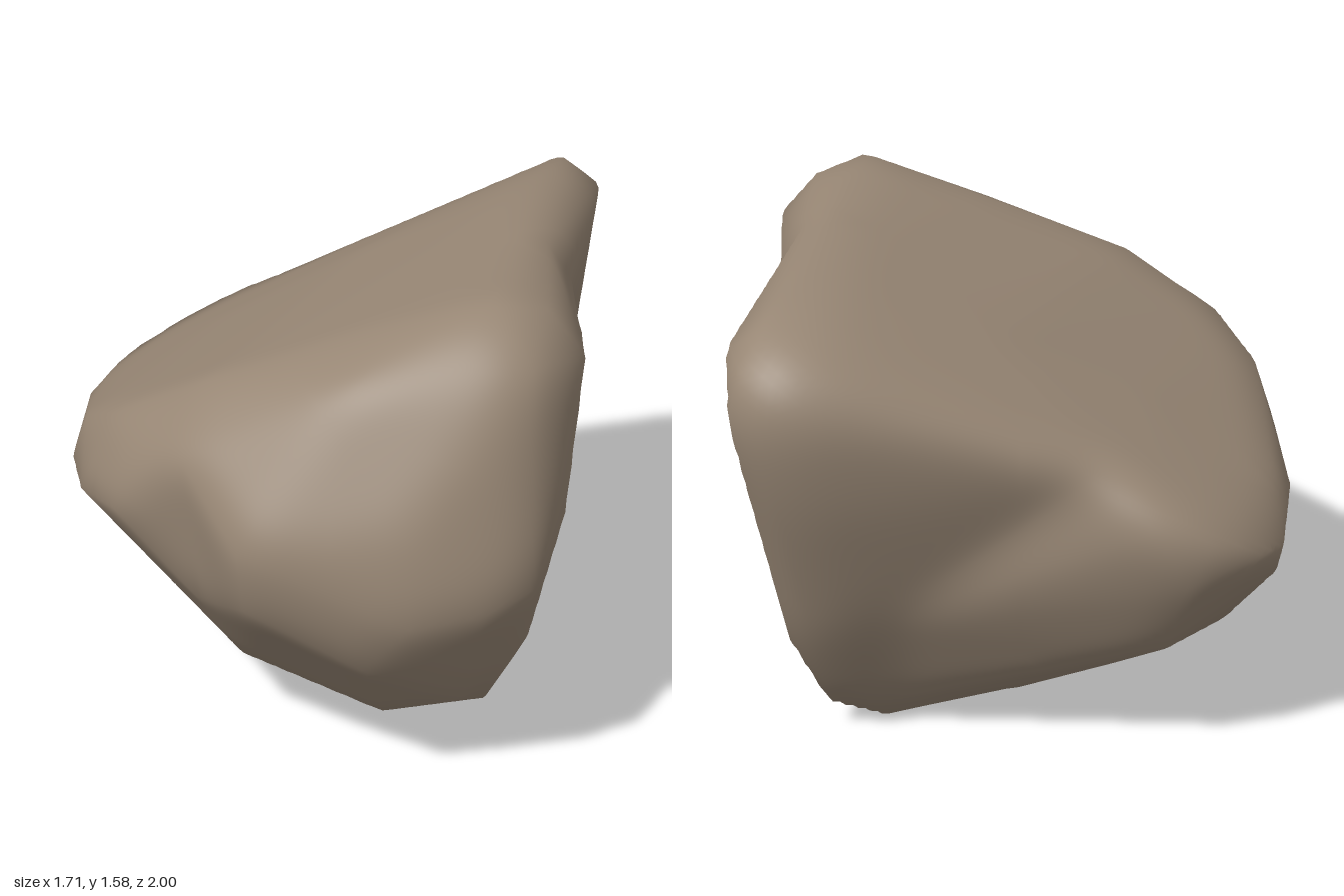
import * as THREE from 'three';
import { mergeVertices } from 'three/addons/utils/BufferGeometryUtils.js';
import { ConvexGeometry } from 'three/addons/geometries/ConvexGeometry.js';

const stone = new THREE.MeshStandardMaterial({ color: 0x978674 });
stone.name = 'brown stone';

const CENTER = new THREE.Vector3(0, 0.8, 0);

// Corners shared by every lobe: sloping top, hollows between lobes, base
const core = [
  [0.47, 1.58, 0.54], [0.65, 1.54, 0], [0.07, 1.45, 0.5], [0.07, 1.33, -0.45],
  [-0.4, 1.27, 0.48], [-0.4, 1.1, -0.4], [0.73, 1.4, -0.05], [0.69, 0.85, -0.05],
  [0.6, 0.5, -0.2], [0.38, 0, -0.27], [0.46, 0.04, 0.02], [0.22, 0.06, 0.16],
  [0, 0.09, -0.4], [-0.3, 0.21, -0.35], [-0.46, 1.11, 0.67], [-0.42, 0.6, 0.62],
  [-0.3, 0.27, 0.4], [-0.25, 1.05, -0.85],
];
// Back corner on the tall side, with its falling ridge
const tallLobe = [
  [0.63, 1.55, -0.5], [0.72, 1.52, -0.82], [0.855, 1.43, -0.78], [0.8, 1.42, -0.94],
  [0.845, 1.27, -0.94], [0.74, 1.28, -1], [0.6, 1.36, -0.99], [0.7, 0.95, -0.93],
  [0.71, 0.48, -0.68], [0.63, 0.46, -0.74], [0.71, 0.37, -0.58], [0.6, 0.11, -0.5],
  [0.42, 0.02, -0.44],
];
// Front face
const frontLobe = [
  [0.47, 1.58, 0.58], [0.63, 1.54, 0.5], [0.75, 1.4, 0.52], [0.58, 1.45, 0.74],
  [0.07, 1.38, 0.73], [-0.28, 0.92, 0.91], [-0.26, 0.7, 0.87],
  [0.23, 1.0, 0.95], [0.23, 0.72, 1], [0.45, 0.75, 0.96], [0.6, 0.8, 0.89],
  [0.7, 0.95, 0.67], [0.6, 0.52, 0.68], [0.1, 0.52, 0.91], [0.4, 0.32, 0.73],
  [0.15, 0.18, 0.59], [0.48, 0.18, 0.5],
];
// Low rounded side with the bulge behind it
const lowLobe = [
  [-0.86, 0.8, -0.4], [-0.86, 0.82, 0.1], [-0.8, 0.87, -0.38], [-0.8, 1, 0.16],
  [-0.69, 1.1, 0.35], [-0.8, 0.6, -0.6], [-0.82, 0.69, 0.08], [-0.8, 0.85, 0.38],
  [-0.68, 0.88, 0.56], [-0.64, 1.02, 0.52], [-0.62, 0.65, 0.38], [-0.65, 0.43, -0.58],
  [-0.39, 0.9, -0.94], [-0.57, 0.86, -0.92], [-0.74, 0.78, -0.83], [-0.8, 0.76, -0.74],
  [-0.5, 0.7, -0.91], [-0.45, 0.43, -0.78], [-0.62, 0.89, -0.72], [-0.38, 0.97, -0.91],
  [0.48, 0.48, -0.68], [0.42, 0.1, -0.48], [-0.3, 0.2, -0.45],
];

// Outward planes of the convex hull around a set of corners
function hullPlanes(points) {
  const geo = new ConvexGeometry(points.map((p) => new THREE.Vector3(...p).sub(CENTER)));
  const pos = geo.attributes.position;
  const planes = [];
  for (let i = 0; i < pos.count; i += 3) {
    const [a, b, c] = [0, 1, 2].map((k) => new THREE.Vector3().fromBufferAttribute(pos, i + k));
    planes.push(new THREE.Plane().setFromCoplanarPoints(a, b, c));
  }
  return planes;
}

// Distance from the centre to the hull along a direction
function reach(planes, dir) {
  let t = Infinity;
  for (const p of planes) {
    const k = p.normal.dot(dir);
    if (k > 1e-6) t = Math.min(t, -p.constant / k);
  }
  return t;
}

// Averages each normal with its neighbours to soften the ridges
function softenNormals(geo, passes) {
  const nor = geo.attributes.normal;
  const index = geo.index.array;
  for (let n = 0; n < passes; n++) {
    const sum = new Float32Array(nor.array.length);
    for (let i = 0; i < index.length; i += 3) {
      for (let k = 0; k < 3; k++) {
        for (let j = 0; j < 3; j++) {
          for (let c = 0; c < 3; c++) sum[index[i + k] * 3 + c] += nor.array[index[i + j] * 3 + c];
        }
      }
    }
    nor.array.set(sum);
    geo.normalizeNormals();
  }
}

export function createModel() {
  const group = new THREE.Group();
  group.name = 'boulder';

  const lobes = [tallLobe, frontLobe, lowLobe].map((l) => hullPlanes([...core, ...l]));

  // Push a fine sphere out to the furthest lobe in every direction
  let geo = new THREE.IcosahedronGeometry(1, 50);
  geo.deleteAttribute('normal');
  geo.deleteAttribute('uv');
  geo = mergeVertices(geo, 1e-4);
  const pos = geo.attributes.position;
  const v = new THREE.Vector3();
  for (let i = 0; i < pos.count; i++) {
    v.fromBufferAttribute(pos, i).normalize();
    const r = Math.max(...lobes.map((planes) => reach(planes, v)));
    v.multiplyScalar(r).add(CENTER);
    pos.setXYZ(i, v.x, v.y, v.z);
  }
  geo.computeVertexNormals();
  softenNormals(geo, 30);

  const rock = new THREE.Mesh(geo, stone);
  rock.name = 'rock';
  group.add(rock);
  return group;
}
